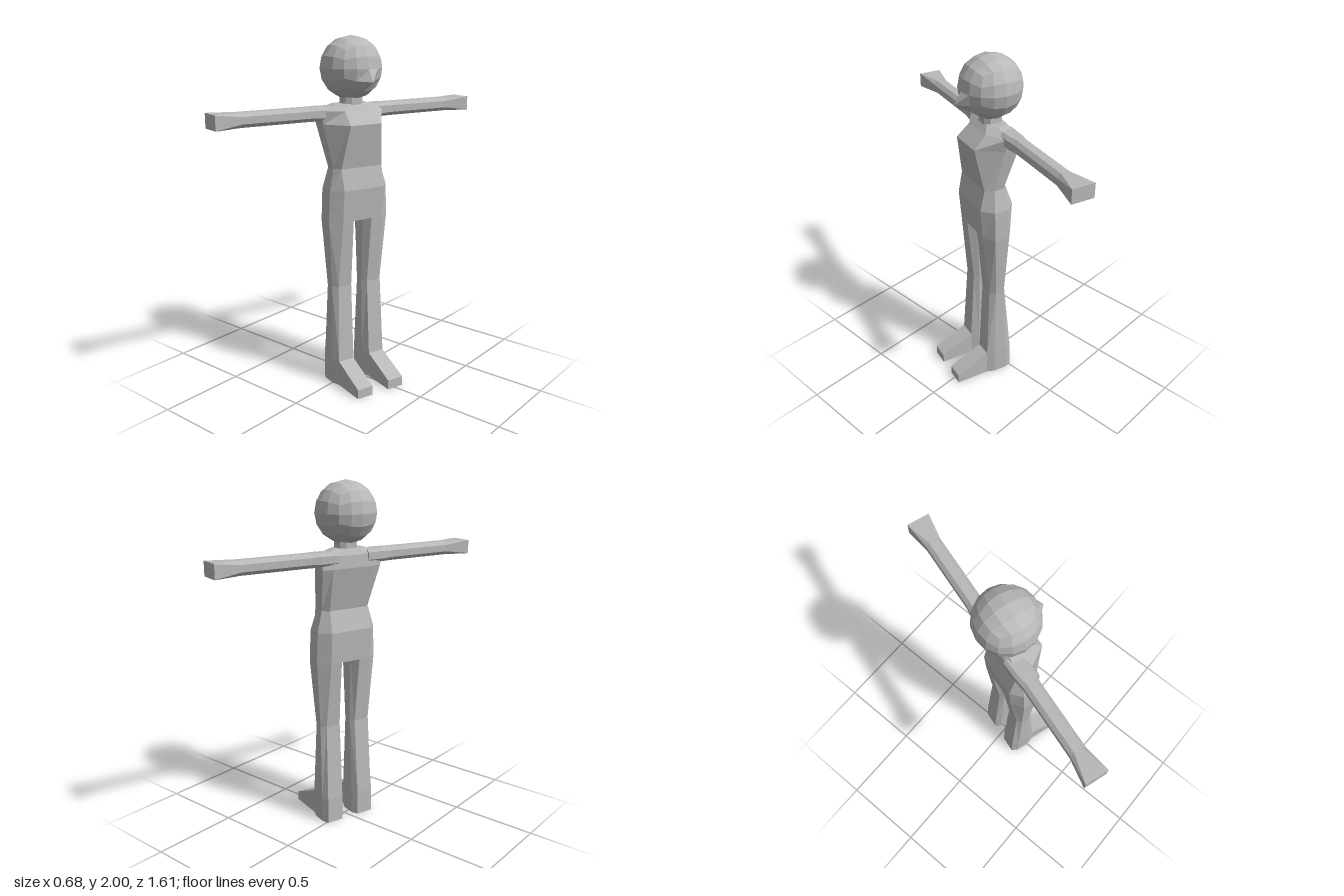
import * as THREE from 'three';

const grey = new THREE.MeshStandardMaterial({ color: 0xb8b8b8, flatShading: true });
grey.name = 'plainGrey';

function part(name, geometry) {
  const flat = geometry.index ? geometry.toNonIndexed() : geometry;
  flat.computeVertexNormals();
  const mesh = new THREE.Mesh(flat, grey);
  mesh.name = name;
  return mesh;
}

// Skin a run of equal-length rings and cap both ends; side = -1 mirrors in x.
function loft(rings, side = 1) {
  const pos = [];
  const tri = (a, b, c) => {
    for (const p of side > 0 ? [a, b, c] : [a, c, b]) pos.push(side * p[0], p[1], p[2]);
  };
  const n = rings[0].length;
  for (let r = 0; r < rings.length - 1; r++) {
    for (let i = 0; i < n; i++) {
      const j = (i + 1) % n, a = rings[r], b = rings[r + 1];
      tri(a[i], a[j], b[j]);
      tri(a[i], b[j], b[i]);
    }
  }
  const first = rings[0], last = rings[rings.length - 1];
  for (let i = 1; i < n - 1; i++) {
    tri(first[0], first[i + 1], first[i]);
    tri(last[0], last[i], last[i + 1]);
  }
  const g = new THREE.BufferGeometry();
  g.setAttribute('position', new THREE.Float32BufferAttribute(pos, 3));
  return g;
}

// Eight-sided body section: front, side and back corners.
function bodyRing([y, frontX, frontZ, sideX, sideF, sideB, backX, backZ]) {
  const half = [[frontX, y, frontZ], [sideX, y, sideF], [sideX, y, sideB], [backX, y, backZ]];
  return [...half, ...half.slice().reverse().map(([x, h, z]) => [-x, h, z])];
}

// Eight-sided leg section.
function legRing([y, inX, outX, inner, outer, frontZ, midF, midB, backZ]) {
  return [[outX, y, frontZ], [outer, y, midF], [outer, y, midB], [outX, y, backZ],
    [inX, y, backZ], [inner, y, midB], [inner, y, midF], [inX, y, frontZ]];
}

// Chamfered rectangle across the arm.
function armRing([x, halfY, halfZ, cut]) {
  const y = 1.586, z = -0.033, cy = halfY - cut, cz = halfZ - cut;
  return [[halfY, -cz], [halfY, cz], [cy, halfZ], [-cy, halfZ],
    [-halfY, cz], [-halfY, -cz], [-cy, -halfZ], [cy, -halfZ]].map(([a, b]) => [x, y + a, z + b]);
}

// Ball made from a divided cube, with one point drawn forward as the nose.
function headGeometry() {
  const g = new THREE.BoxGeometry(2, 2, 2, 4, 4, 4);
  const p = g.attributes.position, v = new THREE.Vector3();
  for (let i = 0; i < p.count; i++) {
    v.fromBufferAttribute(p, i);
    const nose = Math.abs(v.x) < 0.01 && Math.abs(v.y + 0.5) < 0.01 && v.z > 0.99;
    v.set(...v.toArray().map((c) => Math.tan(c * Math.PI / 4))).setLength(0.174);
    if (nose) v.z = 0.215;
    p.setXYZ(i, v.x, v.y, v.z);
  }
  g.translate(0, 1.827, -0.006);
  return g;
}

export function createModel() {
  const root = new THREE.Group();
  root.name = 'figureRoot';
  const figure = new THREE.Group();
  figure.name = 'figure';
  figure.rotation.y = THREE.MathUtils.degToRad(72.5);
  figure.position.set(-0.002, 0, 0.006);
  root.add(figure);

  // Torso from crotch to collar
  figure.add(part('torso', loft([
    [0.99, 0.13, 0.115, 0.195, 0.07, -0.01, 0.13, -0.06],
    [1.17, 0.13, 0.13, 0.188, 0.07, -0.01, 0.13, -0.07],
    [1.29, 0.133, 0.105, 0.155, 0.055, 0.0, 0.12, -0.03],
    [1.53, 0.10, 0.147, 0.19, 0.01, -0.07, 0.13, -0.085],
    [1.60, 0.09, 0.075, 0.20, 0.008, -0.07, 0.11, -0.08],
    [1.635, 0.05, 0.045, 0.10, 0.005, -0.05, 0.05, -0.06],
  ].map(bodyRing))));

  // Neck
  figure.add(part('neck', loft([
    [1.60, 0.03, 0.05, 0.06, 0.025, -0.035, 0.03, -0.06],
    [1.68, 0.03, 0.05, 0.055, 0.025, -0.035, 0.03, -0.06],
  ].map(bodyRing))));

  figure.add(part('head', headGeometry()));

  for (const side of [1, -1]) {
    const label = side > 0 ? 'left' : 'right';

    // Arm widening into a block hand
    figure.add(part(label + 'Arm', loft([
      [0.10, 0.036, 0.055, 0.016],
      [0.20, 0.039, 0.052, 0.018],
      [0.26, 0.039, 0.044, 0.02],
      [0.67, 0.039, 0.044, 0.02],
      [0.823, 0.04, 0.065, 0.0005],
    ].map(armRing), side)));

    // Leg from sole to hip
    figure.add(part(label + 'Leg', loft([
      [0, 0.055, 0.155, 0.035, 0.172, 0.105, 0.06, -0.02, -0.058],
      [0.15, 0.055, 0.155, 0.035, 0.175, 0.105, 0.06, -0.02, -0.056],
      [0.60, 0.055, 0.14, 0.035, 0.167, 0.08, 0.05, 0.005, -0.02],
      [0.99, 0.06, 0.13, 0.03, 0.195, 0.115, 0.07, -0.01, -0.06],
    ].map(legRing), side)));

    // Wedge foot
    const outline = [[0.04, 0], [0.305, 0], [0.305, 0.055], [0.104, 0.15], [0.04, 0.15]];
    const section = (x) => outline.map(([z, y]) => [x, y, z]).reverse();
    figure.add(part(label + 'Foot', loft([section(0.055), section(0.155)], side)));
  }
  return root;
}
